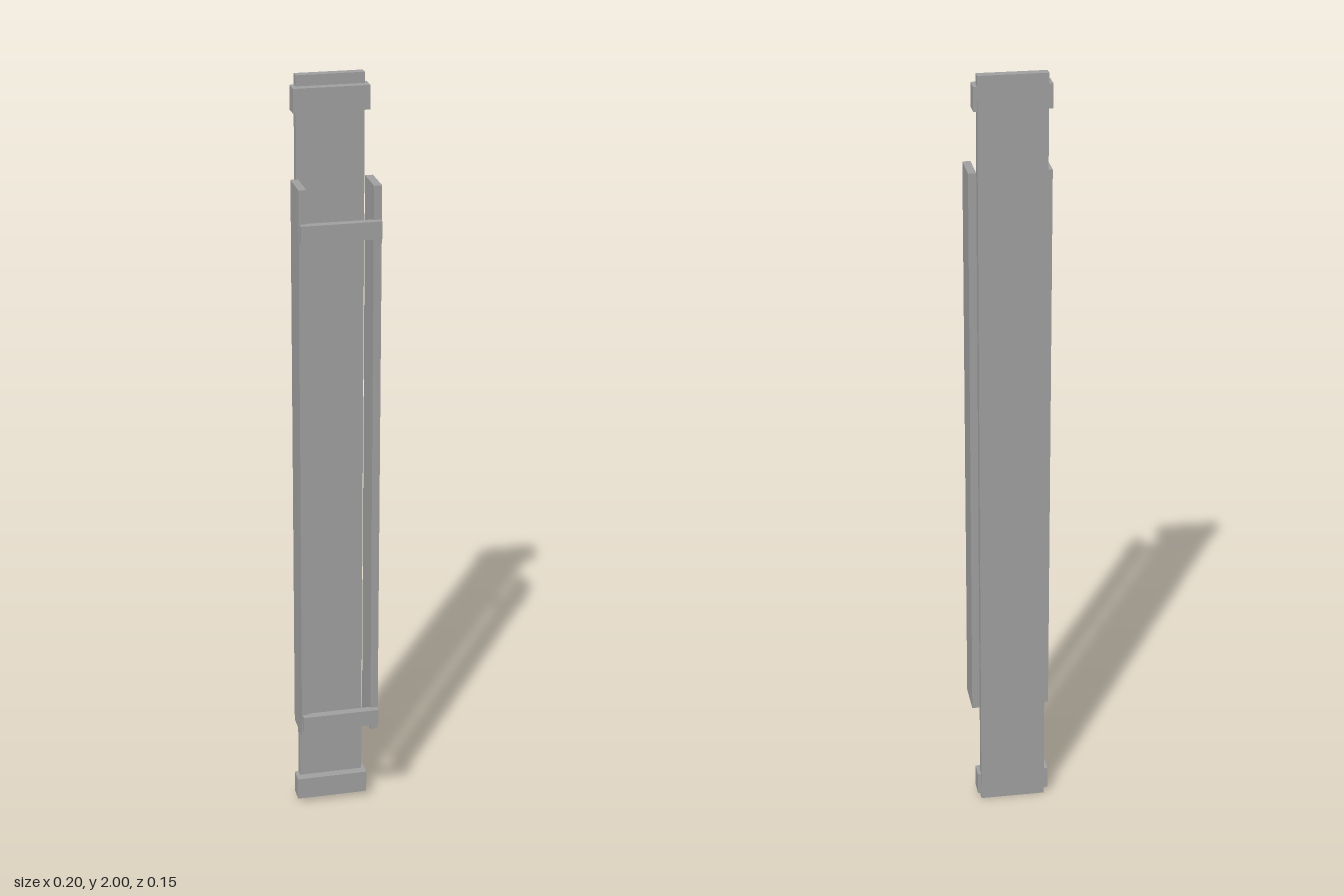
import * as THREE from 'three';

export function createModel() {
  const group = new THREE.Group();
  const grey = new THREE.MeshStandardMaterial({ color: 0xa0a0a0 });
  grey.name = 'grey';

  // Box given by its low and high corners
  const box = (name, [x0, y0, z0], [x1, y1, z1]) => {
    const mesh = new THREE.Mesh(new THREE.BoxGeometry(x1 - x0, y1 - y0, z1 - z0), grey);
    mesh.position.set((x0 + x1) / 2, (y0 + y1) / 2, (z0 + z1) / 2);
    mesh.name = name;
    group.add(mesh);
  };

  // Tall back board
  box('backBoard', [-0.085, 0, -0.078], [0.085, 2, -0.054]);

  // Thick cross blocks near the ends of the board
  box('lowerBlock', [-0.096, 0.015, -0.074], [0.094, 0.075, -0.031]);
  box('upperBlock', [-0.096, 1.913, -0.074], [0.094, 1.973, -0.031]);

  // Upright side boards
  box('rightSideBoard', [-0.103, 0.26, -0.035], [-0.084, 1.75, 0.06]);
  box('leftSideBoard', [0.082, 0.26, -0.035], [0.102, 1.75, 0.06]);

  // Front slats joining the side boards
  box('lowerSlat', [-0.101, 0.281, 0.055], [0.1, 0.325, 0.076]);
  box('upperSlat', [-0.101, 1.621, 0.055], [0.1, 1.665, 0.076]);

  return group;
}
